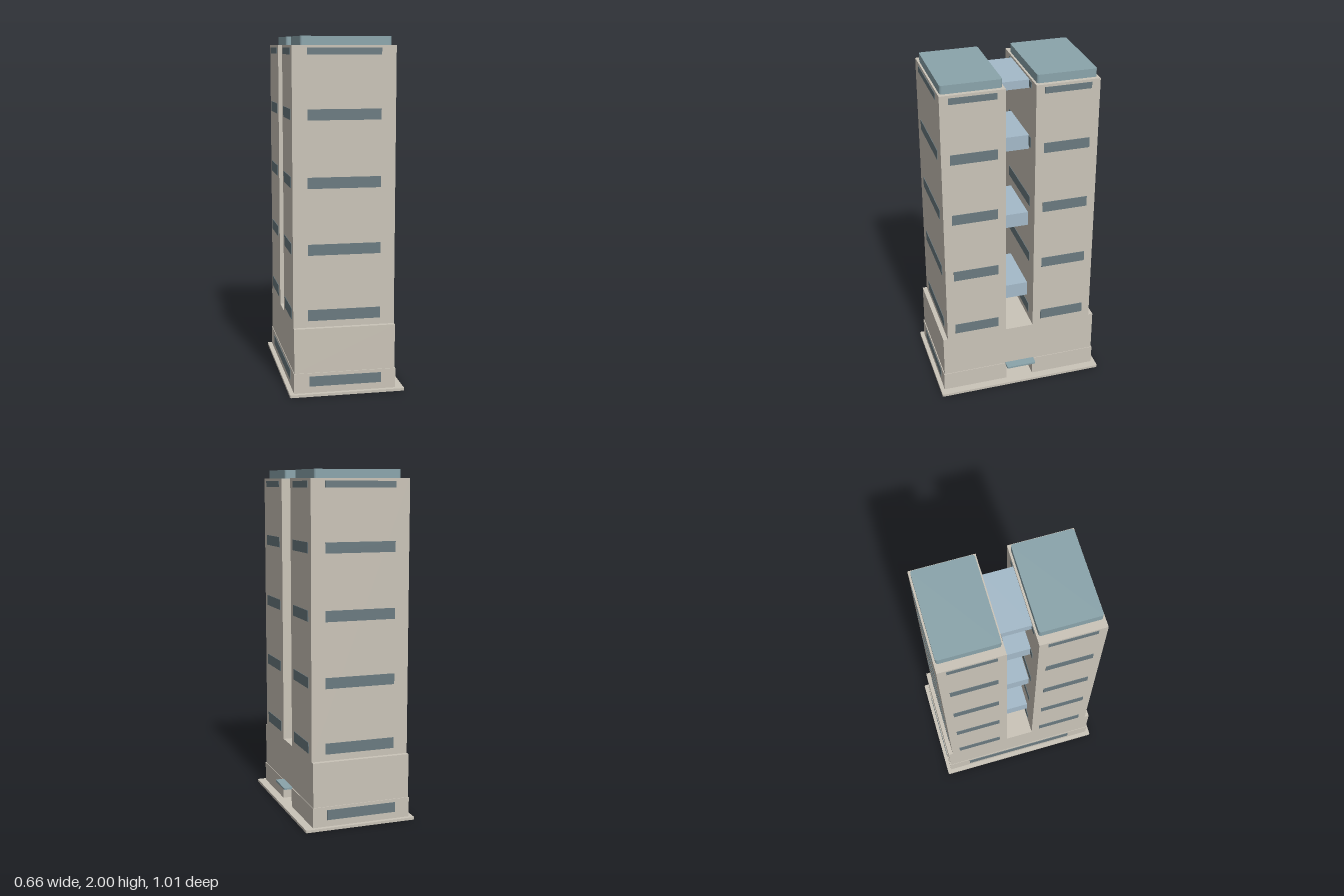
import * as THREE from 'three';

const mat = (name, color) => {
  const m = new THREE.MeshStandardMaterial({ color });
  m.name = name;
  return m;
};

export function createModel() {
  const concrete = mat('concrete', 0xcac4b8);
  const darkGlass = mat('dark glass', 0x6a7a80);
  const roofTeal = mat('roof teal', 0x8aa4ab);
  const bridgeBlue = mat('bridge blue', 0xa4bac9);

  const model = new THREE.Group();
  model.name = 'twinTowerBuilding';

  const add = (parent, name, geometry, material) => {
    const mesh = new THREE.Mesh(geometry, material);
    mesh.name = name;
    parent.add(mesh);
    return mesh;
  };
  // Box given by its limits on each axis
  const box = (parent, name, material, [x0, x1], [y0, y1], [z0, z1]) =>
    add(parent, name, new THREE.BoxGeometry(x1 - x0, y1 - y0, z1 - z0), material)
      .position.set((x0 + x1) / 2, (y0 + y1) / 2, (z0 + z1) / 2);
  // Footprint drawn in x and -z, raised from y0 to y1
  const raise = (parent, name, material, shape, y0, y1) => {
    const g = new THREE.ExtrudeGeometry(shape, { depth: y1 - y0, bevelEnabled: false, curveSegments: 4 });
    g.rotateX(-Math.PI / 2).translate(0, y0, 0);
    return add(parent, name, g, material);
  };
  const roundedRect = (x0, x1, z0, z1, r) => {
    const s = new THREE.Shape();
    s.absarc(x1 - r, z1 - r, r, 0, Math.PI / 2);
    s.absarc(x0 + r, z1 - r, r, Math.PI / 2, Math.PI);
    s.absarc(x0 + r, z0 + r, r, Math.PI, Math.PI * 1.5);
    s.absarc(x1 - r, z0 + r, r, Math.PI * 1.5, Math.PI * 2);
    return s;
  };

  const X0 = -0.301, X1 = 0.278; // shared side faces of towers and upper podium
  const T = 0.003;               // window plate projection

  // Ground slab
  raise(model, 'groundSlab', concrete, roundedRect(-0.33, 0.33, -0.503, 0.503, 0.008), 0, 0.015);

  // Lower podium with an entrance recess in the left side
  const P0 = -0.304, P1 = 0.282, PZ = 0.479, door = 0.084;
  const footprint = new THREE.Shape([
    [P0, -PZ], [P1, -PZ], [P1, -door], [P1 - 0.1, -door],
    [P1 - 0.1, door], [P1, door], [P1, PZ], [P0, PZ],
  ].map(([x, z]) => new THREE.Vector2(x, z)));
  raise(model, 'lowerPodium', concrete, footprint, 0.015, 0.13);
  box(model, 'upperPodium', concrete, [X0, X1], [0.13, 0.387], [-0.474, 0.474]);

  // Entrance canopy
  raise(model, 'entranceCanopy', roofTeal, roundedRect(0.27, 0.33, -0.09, 0.09, 0.006), 0.123, 0.134);

  // Podium window bands: front, back and right side
  const podiumY = [0.053, 0.111];
  box(model, 'podiumWindowFront', darkGlass, [-0.217, 0.198], podiumY, [PZ - T, PZ + T]);
  box(model, 'podiumWindowBack', darkGlass, [-0.217, 0.198], podiumY, [-PZ - T, -PZ + T]);
  box(model, 'podiumWindowRight', darkGlass, [P0 - T, P0 + T], podiumY, [-0.345, 0.345]);

  // Two towers with window bands on all four faces and a roof cap
  const bands = [[0.425, 0.488], [0.799, 0.861], [1.173, 1.235], [1.548, 1.608], [1.901, 1.937]];
  for (const side of [1, -1]) {
    const tower = new THREE.Group();
    tower.name = side > 0 ? 'frontTower' : 'backTower';
    model.add(tower);
    const span = (a, b) => (side > 0 ? [a, b] : [-b, -a]);
    const inner = 0.084, outer = 0.447;
    box(tower, 'towerShaft', concrete, [X0, X1], [0.387, 1.952], span(inner, outer));
    const [c0, c1] = span(0.096, 0.436);
    // shape z is mirrored when raised
    raise(tower, 'roofCap', roofTeal, roundedRect(-0.253, 0.253, -c1, -c0, 0.014), 1.952, 2);
    for (const y of bands) {
      for (const z of [inner, outer])
        box(tower, 'wideWindowBand', darkGlass, [-0.217, 0.196], y, span(z - T, z + T));
      for (const x of [X0, X1])
        box(tower, 'sideWindowBand', darkGlass, [x - T, x + T], y, span(0.132, 0.398));
    }
  }

  // Sky bridges across the gap
  for (const y of [[0.53, 0.621], [1.028, 1.114], [1.525, 1.61], [1.892, 1.94]])
    box(model, 'skyBridge', bridgeBlue, [-0.181, 0.159], y, [-0.084, 0.084]);

  return model;
}
